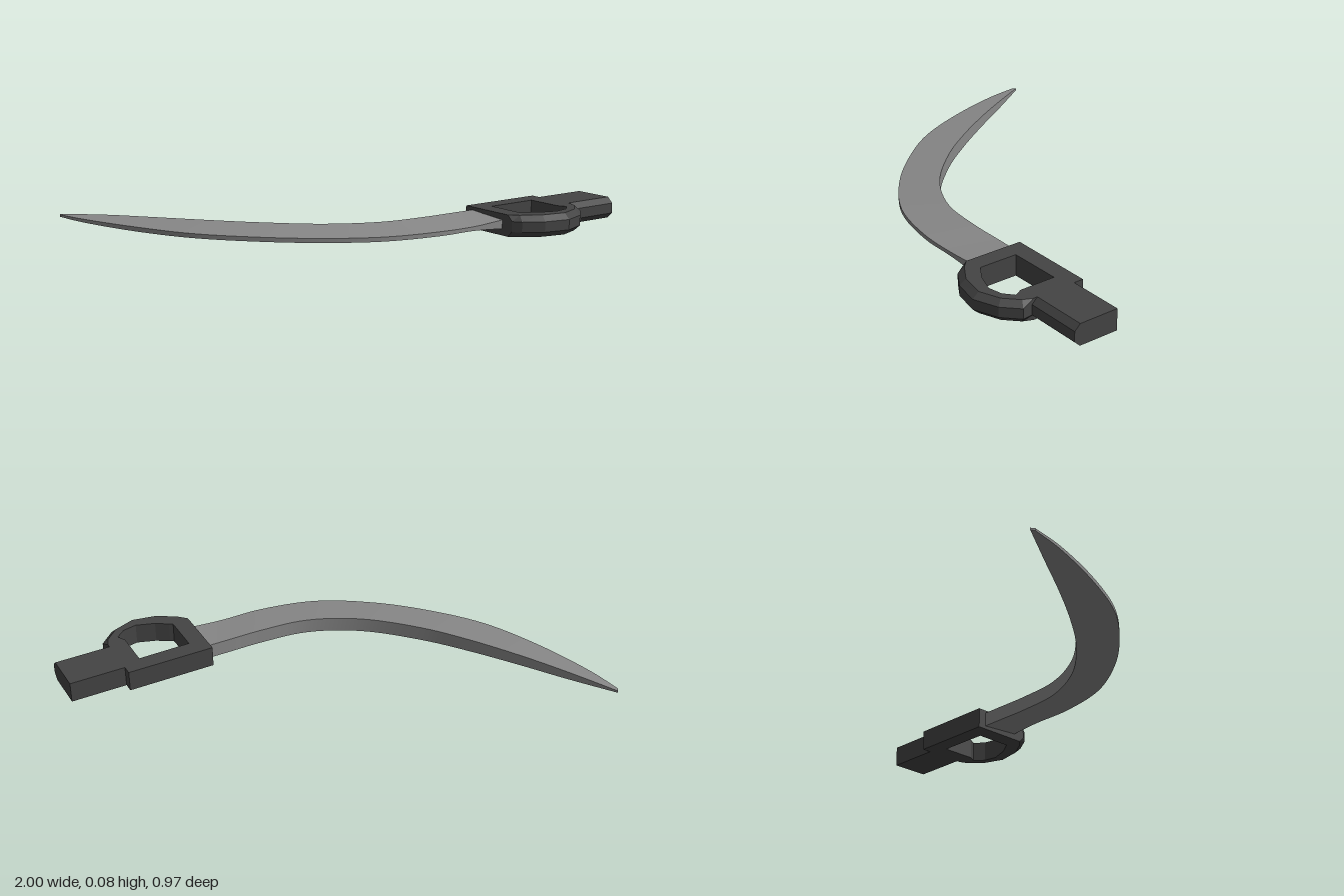
import * as THREE from 'three';
import { toCreasedNormals } from 'three/addons/utils/BufferGeometryUtils.js';

// Skin a row of equal cross-sections; either closed into a ring or capped at both ends
function loft(sections, ring = false) {
  const n = sections[0].length, m = sections.length;
  const index = [];
  for (let i = 0; i < (ring ? m : m - 1); i++) {
    for (let j = 0; j < n; j++) {
      const k = (j + 1) % n, p = i * n, q = ((i + 1) % m) * n;
      index.push(p + j, q + j, q + k, p + j, q + k, p + k);
    }
  }
  if (!ring) {
    const e = (m - 1) * n;
    for (let j = 1; j < n - 1; j++) index.push(0, j, j + 1, e, e + j + 1, e + j);
  }
  const g = new THREE.BufferGeometry();
  g.setAttribute('position', new THREE.Float32BufferAttribute(sections.flat(2), 3));
  g.setIndex(index);
  g.computeVertexNormals();
  return g;
}

function named(name, geometry, material) {
  const mesh = new THREE.Mesh(geometry, material);
  mesh.name = name;
  return mesh;
}

// Curved wedge blade: thick concave spine, thin convex edge
function bladeGeometry() {
  // spine x, spine z, edge x, edge z, spine half thickness, edge half thickness
  const stations = [
    [-1, 0.222, -0.995, 0.238, 0.004, 0.004],
    [-0.8, 0.258, -0.877, 0.307, 0.016, 0.006],
    [-0.61, 0.291, -0.65, 0.405, 0.022, 0.008],
    [-0.4, 0.318, -0.42, 0.472, 0.026, 0.008],
    [-0.21, 0.328, -0.21, 0.484, 0.028, 0.008],
    [0.03, 0.303, 0.02, 0.462, 0.028, 0.008],
    [0.22, 0.222, 0.25, 0.39, 0.028, 0.008],
    [0.353, 0.1, 0.43, 0.257, 0.028, 0.008],
    [0.45, -0.01, 0.54, 0.135, 0.028, 0.008],
    [0.52, -0.09, 0.64, 0.02, 0.028, 0.018],
  ];
  const curve = (a, b, c) => new THREE.CatmullRomCurve3(
    stations.map((s) => new THREE.Vector3(s[a], s[c], s[b])));
  const spine = curve(0, 1, 4), edge = curve(2, 3, 5);
  const mid = 0.041, steps = 54, sections = [];
  for (let i = 0; i <= steps; i++) {
    const s = spine.getPoint(i / steps), e = edge.getPoint(i / steps);
    sections.push([
      [s.x, mid + s.y, s.z], [s.x, mid - s.y, s.z],
      [e.x, mid - e.y, e.z], [e.x, mid + e.y, e.z],
    ]);
  }
  return toCreasedNormals(loft(sections), 0.45);
}

const H = 0.08, LOW = 0.021, HIGH = 0.059; // handle height and chamfer levels

// D-shaped hand guard: outer outline, chamfered top outline and inner opening
function guardGeometry() {
  const rows = [
    [0, 0, 0, 0, 0.066, 0.068],
    [0, 0.248, 0, 0.226, 0.066, 0.217],
    [0.022, 0.278, 0.03, 0.256, 0.08, 0.225],
    [0.093, 0.322, 0.1, 0.3, 0.125, 0.254],
    [0.193, 0.342, 0.193, 0.318, 0.195, 0.278],
    [0.284, 0.307, 0.272, 0.288, 0.249, 0.267],
    [0.342, 0.251, 0.322, 0.24, 0.285, 0.236],
    [0.337, 0.205, 0.337, 0.205, 0.268, 0.205],
    [0.337, 0, 0.337, 0, 0.268, 0.066],
  ];
  return loft(rows.map(([ox, oz, tx, tz, ix, iz]) => [
    [tx, 0, tz], [ox, LOW, oz], [ox, HIGH, oz],
    [tx, H, tz], [ix, H, iz], [ix, 0, iz],
  ]), true);
}

// Grip bar, chamfered along the guard side
function gripGeometry() {
  return loft([0.33, 0.551].map((x) => [
    [x, H, 0.037], [x, 0, 0.037], [x, 0, 0.19],
    [x, LOW, 0.212], [x, HIGH, 0.212], [x, H, 0.19],
  ]));
}

export function createModel() {
  const steel = new THREE.MeshStandardMaterial({ color: 0x888888 });
  const dark = new THREE.MeshStandardMaterial({ color: 0x444444, flatShading: true });

  const handle = new THREE.Group();
  handle.name = 'handle';
  handle.position.set(0.475, 0, -0.09);
  handle.rotation.y = 0.859;
  handle.add(named('handGuard', guardGeometry(), dark), named('grip', gripGeometry(), dark));

  const model = new THREE.Group();
  model.name = 'curvedSword';
  model.add(named('blade', bladeGeometry(), steel), handle);
  return model;
}
